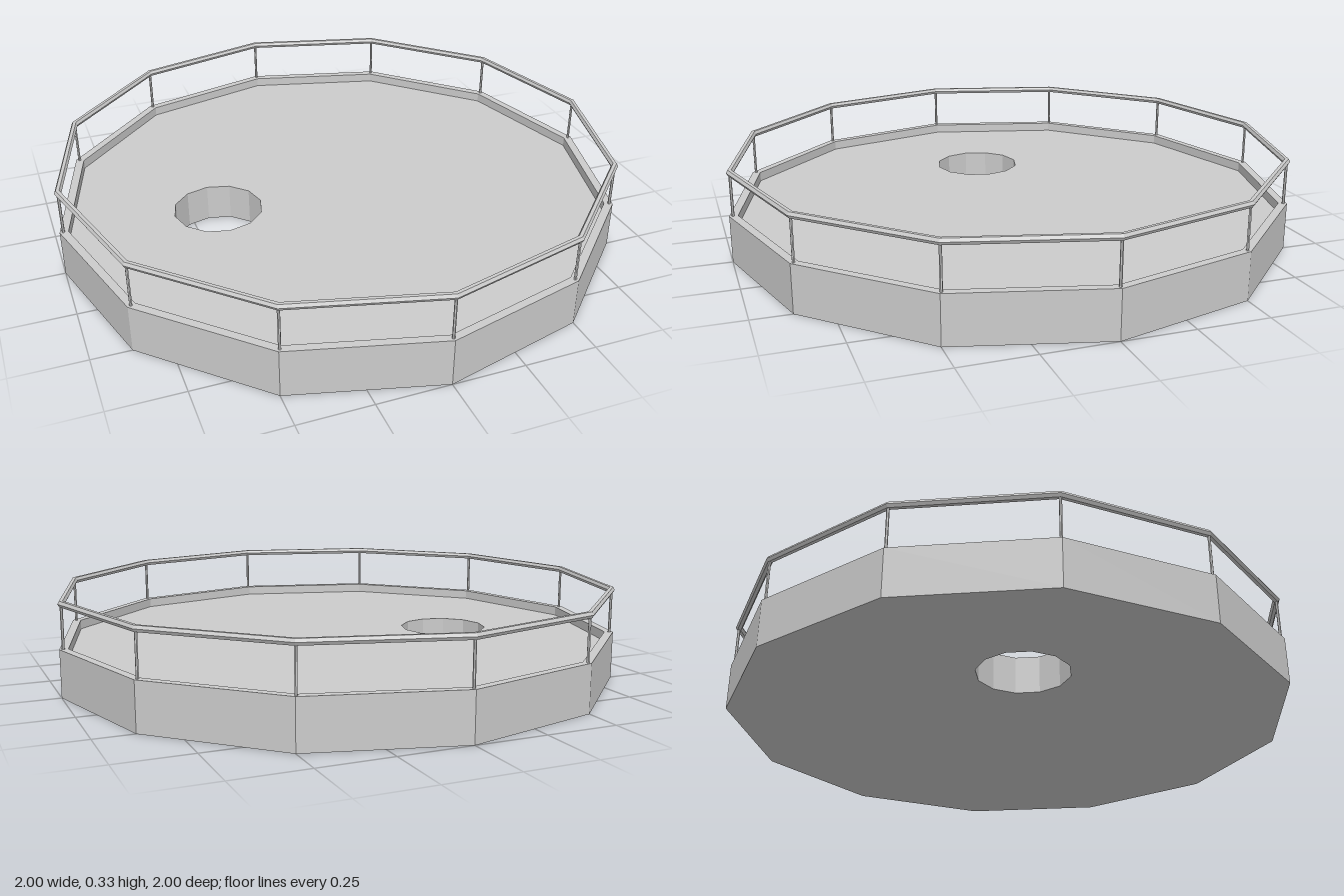
import * as THREE from 'three';

const SIDES = 12;
const RIM_TOP = 0.166, FLOOR_Y = 0.133, INNER_R = 0.97;
const HOLE = { x: -0.44, z: -0.02, r: 0.158 };
const RAIL_R = 0.987, RAIL_Y = 0.319, RAIL_THICK = 0.012;

const material = new THREE.MeshStandardMaterial({ color: 0xcccccc, flatShading: true });

function add(parent, name, geometry) {
  const mesh = new THREE.Mesh(geometry, material);
  mesh.name = name;
  parent.add(mesh);
  return mesh;
}

// Twelve-sided ring swept from [radius, height] pairs
const ring = (profile) =>
  new THREE.LatheGeometry(profile.map(([r, y]) => new THREE.Vector2(r, y)), SIDES);

const polygon = (r, cx = 0, cy = 0) =>
  Array.from({ length: SIDES }, (_, i) => {
    const a = (i / SIDES) * Math.PI * 2;
    return new THREE.Vector2(cx + r * Math.cos(a), cy + r * Math.sin(a));
  });

// Flat twelve-sided plate with the round opening, facing up (1) or down (-1)
function plate(radius, y, facing) {
  const shape = new THREE.Shape(polygon(radius));
  shape.holes.push(new THREE.Path(polygon(HOLE.r, HOLE.x, -HOLE.z * facing)));
  return new THREE.ShapeGeometry(shape).rotateX(-facing * Math.PI / 2).translate(0, y, 0);
}

export function createModel() {
  const model = new THREE.Group();
  model.name = 'railedPlatform';

  // Platform: outer wall with raised rim, sunken floor, underside, opening
  const base = new THREE.Group();
  base.name = 'platform';
  model.add(base);
  add(base, 'rimWall', ring([[1, 0], [1, RIM_TOP], [INNER_R, RIM_TOP], [INNER_R, FLOOR_Y]]));
  add(base, 'floor', plate(INNER_R, FLOOR_Y, 1));
  add(base, 'underside', plate(1, 0, -1));
  add(base, 'openingWall', ring([[HOLE.r, FLOOR_Y], [HOLE.r, 0]])).position.set(HOLE.x, 0, HOLE.z);

  // Railing: one post per corner under a six-sided handrail
  const railing = new THREE.Group();
  railing.name = 'railing';
  model.add(railing);
  const postHeight = RAIL_Y - RIM_TOP;
  const postGeometry = new THREE.CylinderGeometry(0.005, 0.005, postHeight, 6, 1, true);
  for (let i = 0; i < SIDES; i++) {
    const a = (i / SIDES) * Math.PI * 2;
    const post = add(railing, 'post', postGeometry);
    post.position.set(RAIL_R * Math.sin(a), RIM_TOP + postHeight / 2, RAIL_R * Math.cos(a));
    post.rotation.y = a;
  }
  const section = Array.from({ length: 7 }, (_, i) => {
    const a = (i / 6) * Math.PI * 2;
    return [RAIL_R + RAIL_THICK * Math.cos(a), RAIL_Y + RAIL_THICK * Math.sin(a)];
  });
  add(railing, 'handrail', ring(section));

  return model;
}
